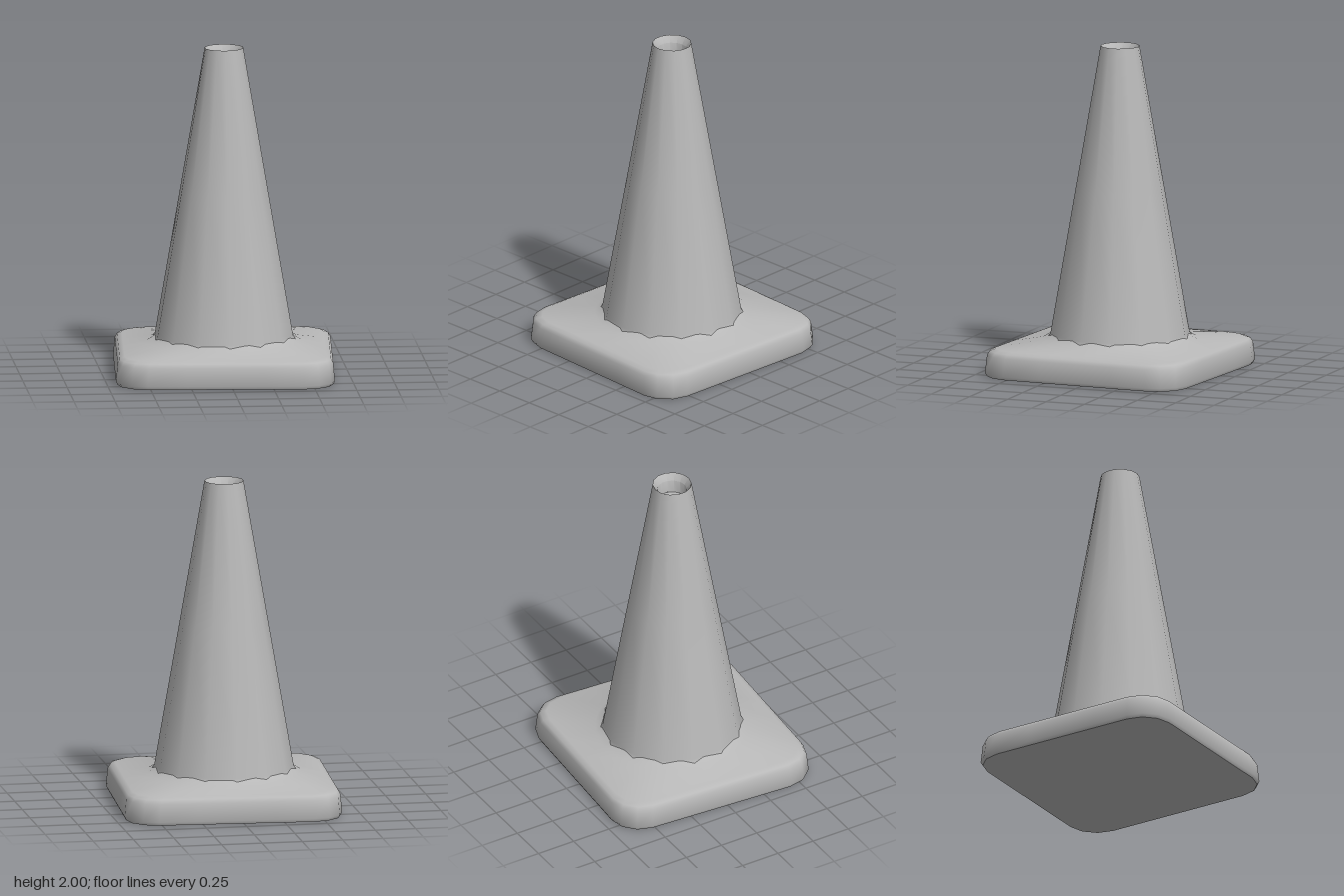
import * as THREE from 'three';
import { toCreasedNormals } from 'three/addons/utils/BufferGeometryUtils.js';

const rubber = new THREE.MeshStandardMaterial({ color: 0xb8b8b8 });
rubber.name = 'greyRubber';

// Outline of the foot: a square with faceted round corners, turned slightly.
function footOutline() {
  const half = 0.667, r = 0.19, turn = 0.065, pts = [];
  for (let side = 0; side < 4; side++) {
    const a = turn + side * Math.PI / 2, c = Math.cos(a), s = Math.sin(a);
    const add = (x, z) => pts.push([x * c - z * s, x * s + z * c]);
    const end = half - r;
    for (let i = 0; i < 4; i++) add(half, -end + (2 * end * i) / 4);
    for (let i = 0; i < 3; i++) {
      const t = (i / 3) * Math.PI / 2;
      add(end + r * Math.cos(t), end + r * Math.sin(t));
    }
  }
  return pts;
}

// Skin a stack of rings, closing the first ring with a flat underside.
function loft(rings) {
  const n = rings[0].length, index = [];
  const pos = [0, rings[0][0][1], 0, ...rings.flat(2)];
  for (let i = 0; i < n; i++) {
    const j = (i + 1) % n;
    index.push(0, 1 + i, 1 + j);
    for (let k = 0; k < rings.length - 1; k++) {
      const a = 1 + k * n + i, b = 1 + k * n + j;
      index.push(a, a + n, b, b, a + n, b + n);
    }
  }
  const g = new THREE.BufferGeometry();
  g.setAttribute('position', new THREE.Float32BufferAttribute(pos, 3));
  g.setIndex(index);
  return toCreasedNormals(g, 0.9);
}

export function createModel() {
  const model = new THREE.Group();
  model.name = 'trafficCone';
  const add = (name, geometry) => {
    const mesh = new THREE.Mesh(geometry, rubber);
    mesh.name = name;
    model.add(mesh);
  };

  // Foot: scaled outlines up the rim, then a gentle slope to the cone
  const outline = footOutline();
  const scaled = (k, y) => outline.map(([x, z]) => [x * k, y, z * k]);
  const circle = (r, y) => outline.map(([x, z]) => {
    const d = Math.hypot(x, z);
    return [x / d * r, y, z / d * r];
  });
  add('foot', loft([
    scaled(0.985, 0), scaled(1, 0.02), scaled(0.985, 0.13), scaled(0.965, 0.155),
    scaled(0.92, 0.167), circle(0.47, 0.195), circle(0.42, 0.225),
  ]));

  // Cone body
  const body = [[0.45, 0.195], [0.425, 0.23], [0.272, 1.115], [0.119, 2]];
  const v = (p) => new THREE.Vector2(...p);
  add('coneBody', new THREE.LatheGeometry(body.map(v), 14));

  // Lip around the open tip, and the recess inside it
  const lip = [[0.119, 2], [0.09, 1.96], [0.085, 1.88]];
  add('tipLip', toCreasedNormals(new THREE.LatheGeometry(lip.map(v), 14), 0.6));
  const floor = new THREE.CircleGeometry(0.085, 14).rotateX(-Math.PI / 2);
  floor.translate(0, 1.88, 0);
  add('recessFloor', floor);
  return model;
}
